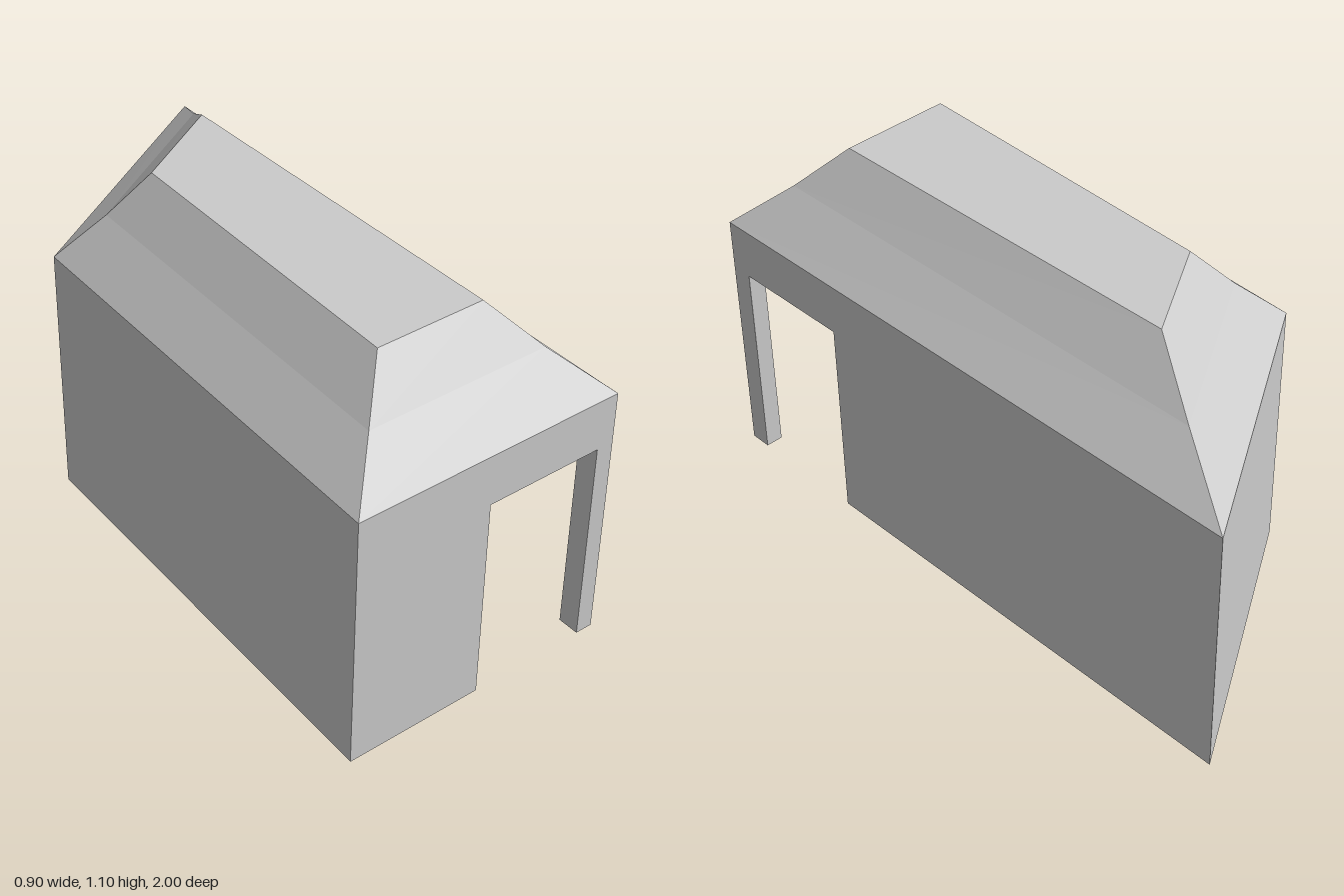
import * as THREE from 'three';

const material = new THREE.MeshStandardMaterial({ color: 0xcccccc, side: THREE.DoubleSide, flatShading: true });

// Plan corners as [x, z], anticlockwise seen from above
const FL = [-0.455, 1], FR = [0.447, 1], BR = [0.45, -1], BL = [-0.39, -0.49];
const EAVE = 0.835, TOP = 1.1, DOOR = 0.67;
const PORCH_X = 0, PORCH_Z = 0.53, POST_X = 0.39, POST_Z = 0.93;

function addMesh(parent, name, geometry) {
  const mesh = new THREE.Mesh(geometry, material);
  mesh.name = name;
  parent.add(mesh);
  return mesh;
}

// Upright panel from plan point a to b; outline is [distance along, height]
function addWall(parent, name, a, b, outline) {
  const length = Math.hypot(b[0] - a[0], b[1] - a[1]);
  const points = outline ? outline(length) : [[0, 0], [length, 0], [length, EAVE], [0, EAVE]];
  const shape = new THREE.Shape(points.map(([s, y]) => new THREE.Vector2(s, y)));
  const mesh = addMesh(parent, name, new THREE.ShapeGeometry(shape));
  mesh.position.set(a[0], 0, a[1]);
  mesh.rotation.y = Math.atan2(a[1] - b[1], b[0] - a[0]);
}

const doorHigh = (length) => [[0, 0], [length, 0], [length, DOOR], [0, DOOR]];

// Horizontal rectangle facing down
function addSoffit(parent, name, x0, x1, z0, z1, y) {
  const geometry = new THREE.PlaneGeometry(x1 - x0, z1 - z0);
  geometry.rotateX(Math.PI / 2);
  geometry.translate((x0 + x1) / 2, y, (z0 + z1) / 2);
  addMesh(parent, name, geometry);
}

// Hipped roof: eave, slightly concave middle and flat top rings
function roofGeometry() {
  const eave = [FL, FR, BR, BL];
  const flat = [[-0.18, 0.73], [0.183, 0.73], [0.183, -0.53], [-0.135, -0.34]];
  const rings = [[0, 0], [0.54, 0.5], [1, 1]].map(([inset, rise]) => eave.map(([x, z], i) => [
    x + (flat[i][0] - x) * inset,
    EAVE + (TOP - EAVE) * rise,
    z + (flat[i][1] - z) * inset,
  ]));
  const positions = [];
  const quad = (a, b, c, d) => positions.push(...a, ...b, ...c, ...a, ...c, ...d);
  for (let r = 0; r < 2; r++) {
    for (let i = 0; i < 4; i++) {
      const j = (i + 1) % 4;
      quad(rings[r][i], rings[r][j], rings[r + 1][j], rings[r + 1][i]);
    }
  }
  quad(...rings[2]);
  const geometry = new THREE.BufferGeometry();
  geometry.setAttribute('position', new THREE.Float32BufferAttribute(positions, 3));
  geometry.computeVertexNormals();
  return geometry;
}

export function createModel() {
  const model = new THREE.Group();
  model.name = 'house';

  // Outer walls; front and right wrap around the corner porch
  const walls = new THREE.Group();
  walls.name = 'walls';
  model.add(walls);
  const opening = (s0, s1) => (length) => [
    [0, 0], [s0, 0], [s0, DOOR], [s1, DOOR], [s1, 0], [length, 0], [length, EAVE], [0, EAVE],
  ];
  addWall(walls, 'frontWall', FL, FR, opening(PORCH_X - FL[0], POST_X - FL[0]));
  addWall(walls, 'leftWall', FR, BR, opening(1 - POST_Z, 1 - PORCH_Z));
  addWall(walls, 'backWall', BR, BL);
  addWall(walls, 'rightWall', BL, FL);

  // Recessed porch and the inner faces of its corner post
  const porch = new THREE.Group();
  porch.name = 'porch';
  model.add(porch);
  const side = FR[0];
  addWall(porch, 'porchSideWall', [PORCH_X, 1], [PORCH_X, PORCH_Z], doorHigh);
  addWall(porch, 'porchBackWall', [PORCH_X, PORCH_Z], [side, PORCH_Z], doorHigh);
  addSoffit(porch, 'porchCeiling', PORCH_X, side, PORCH_Z, 1, DOOR);
  addWall(porch, 'postInnerSide', [POST_X, POST_Z], [POST_X, 1], doorHigh);
  addWall(porch, 'postInnerBack', [side, POST_Z], [POST_X, POST_Z], doorHigh);
  addSoffit(porch, 'postFoot', POST_X, side, POST_Z, 1, 0);

  addMesh(model, 'roof', roofGeometry());
  return model;
}
